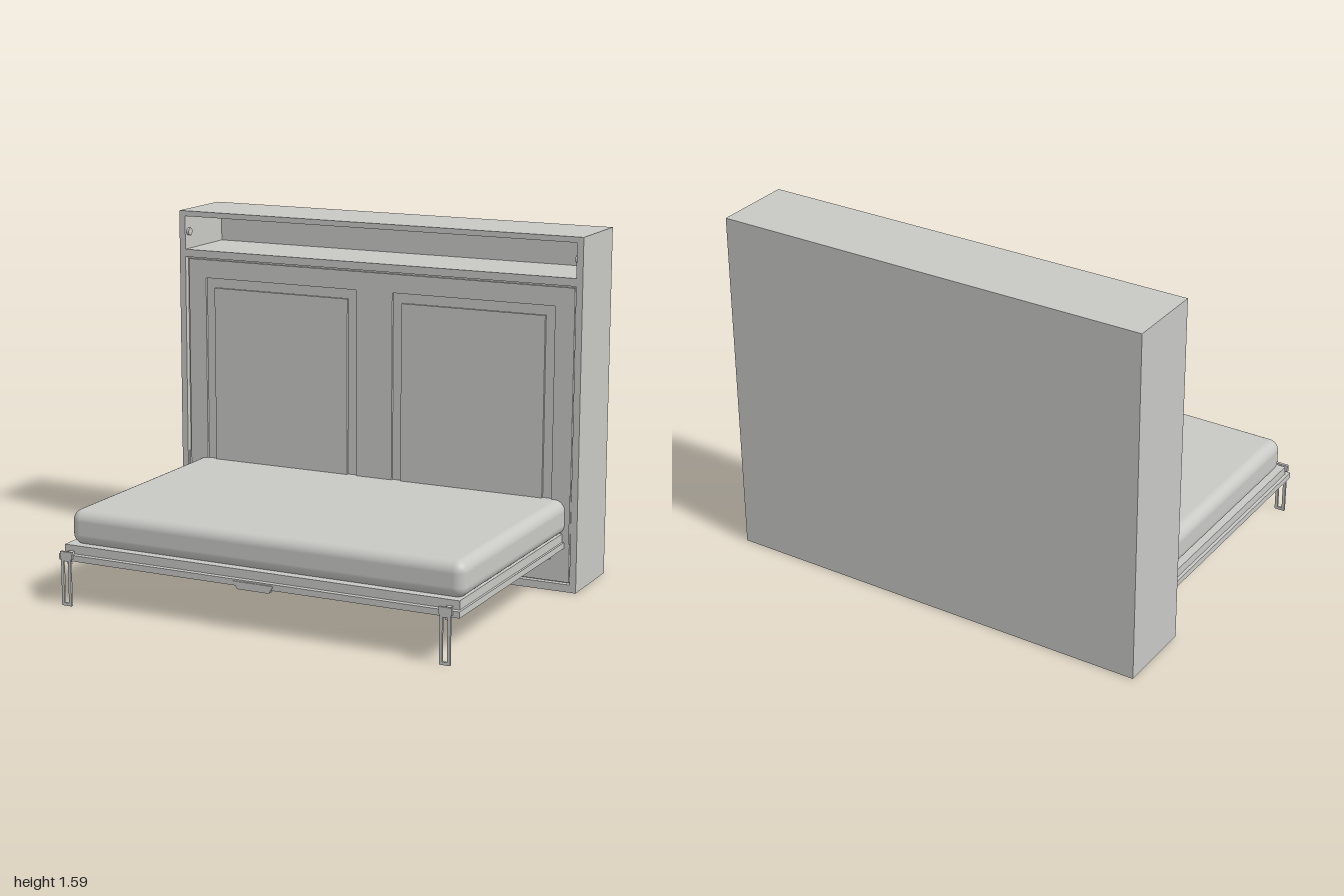
import * as THREE from 'three';
import { RoundedBoxGeometry } from 'three/addons/geometries/RoundedBoxGeometry.js';

const grey = new THREE.MeshStandardMaterial({ color: 0xc8c8c5 });
grey.name = 'warm light grey';

function add(parent, name, geometry) {
  const mesh = new THREE.Mesh(geometry, grey);
  mesh.name = name;
  parent.add(mesh);
  return mesh;
}

// Box given by its lower and upper limits on each axis
function block(parent, name, [x0, x1], [y0, y1], [z0, z1]) {
  const mesh = add(parent, name, new THREE.BoxGeometry(x1 - x0, y1 - y0, z1 - z0));
  mesh.position.set((x0 + x1) / 2, (y0 + y1) / 2, (z0 + z1) / 2);
  return mesh;
}

function rect(path, x0, x1, y0, y1) {
  path.moveTo(x0, y0);
  path.lineTo(x1, y0);
  path.lineTo(x1, y1);
  path.lineTo(x0, y1);
  path.closePath();
  return path;
}

// Flat frame in the xy plane with rectangular openings
function framePlate(parent, name, outer, holes, z0, z1) {
  const shape = rect(new THREE.Shape(), ...outer);
  holes.forEach(h => shape.holes.push(rect(new THREE.Path(), ...h)));
  const mesh = add(parent, name, new THREE.ExtrudeGeometry(shape, { depth: z1 - z0, bevelEnabled: false }));
  mesh.position.z = z0;
  return mesh;
}

function createCabinet() {
  const g = new THREE.Group();
  g.name = 'cabinet';
  const back = -0.76, front = -0.4;

  // Carcass: outer shell, shelf under the niche, back
  framePlate(g, 'carcass', [-1, 1, 0, 1.585], [[-0.97, 0.97, 0.035, 1.37], [-0.97, 0.97, 1.405, 1.56]], back + 0.015, front);
  block(g, 'backPanel', [-1, 1], [0, 1.585], [back, back + 0.015]);

  // Fixed front with two framed fields
  const face = -0.415, sunk = -0.427;
  const openings = [[-0.87, -0.09, 0.135, 1.275], [0.09, 0.87, 0.135, 1.275]];
  framePlate(g, 'frontFrame', [-0.96, 0.96, 0.04, 1.36], openings, sunk, face);
  block(g, 'frontBacking', [-0.97, 0.97], [0.035, 1.37], [sunk - 0.02, sunk]);
  for (const [x0, x1, y0, y1] of openings) {
    block(g, 'raisedField', [x0 + 0.045, x1 - 0.045], [y0 + 0.045, y1 - 0.045], [sunk, face]);
  }

  // Small fittings on the niche ends and hinge plates beside the bed
  for (const s of [-1, 1]) {
    const stud = add(g, 'nicheFitting', new THREE.CylinderGeometry(0.018, 0.018, 0.012, 16));
    stud.rotation.z = Math.PI / 2;
    stud.position.set(s * 0.965, 1.485, -0.43);
    const hinge = block(g, 'hingePlate', [-0.004, 0.004], [0.22, 0.44], [-0.42, -0.402]);
    hinge.position.x = s * 0.964;
  }
  return g;
}

function createLeg(x) {
  const g = new THREE.Group();
  g.name = 'foldingLeg';
  // Slotted loop, crossbar and arm back to the bed frame
  framePlate(g, 'legLoop', [-0.024, 0.024, 0, 0.225], [[-0.011, 0.011, 0.013, 0.2]], 0.753, 0.763);
  block(g, 'legHead', [-0.029, 0.029], [0.21, 0.242], [0.75, 0.763]);
  block(g, 'legArm', [-0.012, 0.012], [0.217, 0.235], [0.7, 0.755]);
  block(g, 'legCatch', [-0.01, 0.01], [0.18, 0.2], [0.728, 0.734]);
  g.position.x = x;
  return g;
}

function createBed() {
  const g = new THREE.Group();
  g.name = 'bed';

  // Stepped platform, its rear end buried in the cabinet front
  block(g, 'platformBase', [-0.96, 0.935], [0.195, 0.222], [-0.44, 0.735]);
  block(g, 'platformRail', [-0.945, 0.925], [0.222, 0.26], [-0.44, 0.71]);

  // Soft-edged mattress
  const mattress = add(g, 'mattress', new RoundedBoxGeometry(1.865, 0.158, 1.19, 6, 0.05));
  mattress.position.set(0.0025, 0.333, 0.098);

  // Pull handle under the front edge, with tapered ends
  const pull = new THREE.Shape();
  pull.moveTo(-0.095, 0.215);
  pull.lineTo(-0.075, 0.182);
  pull.lineTo(0.075, 0.182);
  pull.lineTo(0.095, 0.215);
  pull.closePath();
  const handle = add(g, 'pullHandle', new THREE.ExtrudeGeometry(pull, { depth: 0.03, bevelEnabled: false }));
  handle.position.z = 0.71;

  for (const x of [-0.908, 0.884]) g.add(createLeg(x));
  return g;
}

export function createModel() {
  const model = new THREE.Group();
  model.name = 'wallBed';
  model.add(createCabinet(), createBed());
  return model;
}
